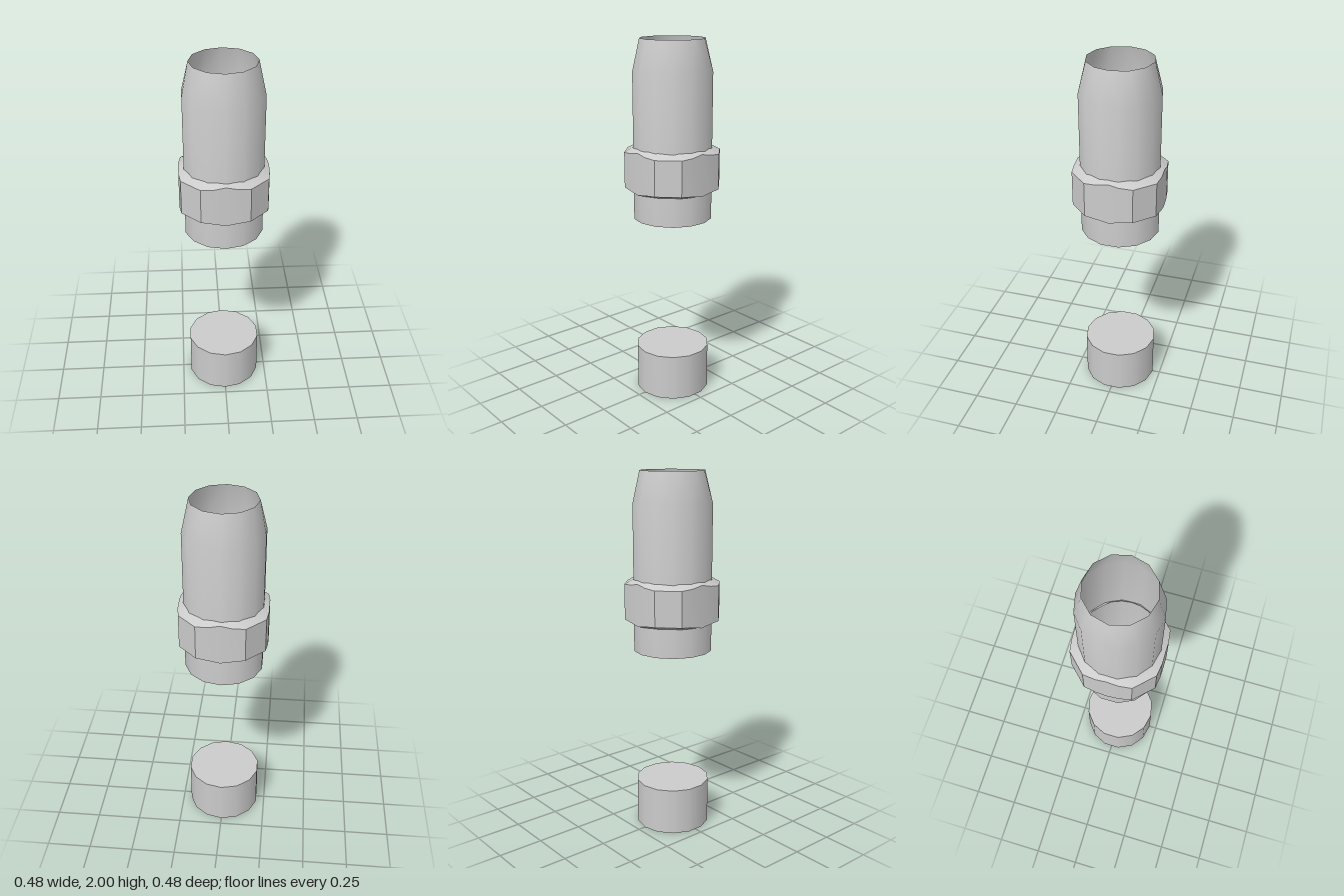
import * as THREE from 'three';
import { toCreasedNormals } from 'three/addons/utils/BufferGeometryUtils.js';

const grey = new THREE.MeshStandardMaterial({ color: 0xcccccc });
const greyThin = new THREE.MeshStandardMaterial({ color: 0xcccccc, side: THREE.DoubleSide });

// Regular polygon loop, running from +z towards +x
function ring(sides, radius, y) {
  return Array.from({ length: sides }, (_, i) => {
    const a = (i / sides) * Math.PI * 2;
    return new THREE.Vector3(Math.sin(a) * radius, y, Math.cos(a) * radius);
  });
}

// Skin closed loops from bottom to top; neighbouring loops may differ in point count
function loft(loops, crease) {
  const pos = [];
  const tri = (...pts) => pts.forEach((p) => pos.push(p.x, p.y, p.z));
  for (let k = 0; k < loops.length - 1; k++) {
    const a = loops[k], b = loops[k + 1];
    const n = a.length, m = b.length;
    let i = 0, j = 0;
    while (i < n || j < m) {
      if (i < n && (j >= m || (i + 1) / n <= (j + 1) / m)) {
        tri(a[i % n], a[(i + 1) % n], b[j % m]);
        i++;
      } else {
        tri(a[i % n], b[(j + 1) % m], b[j % m]);
        j++;
      }
    }
  }
  const geometry = new THREE.BufferGeometry();
  geometry.setAttribute('position', new THREE.Float32BufferAttribute(pos, 3));
  return toCreasedNormals(geometry, crease);
}

function add(parent, name, geometry, material = grey) {
  const mesh = new THREE.Mesh(geometry, material);
  mesh.name = name;
  parent.add(mesh);
  return mesh;
}

export function createModel() {
  const model = new THREE.Group();
  model.name = 'nozzle';

  // Loose plug at the bottom
  add(model, 'plug', new THREE.CylinderGeometry(0.207, 0.207, 0.26, 14)).position.y = 0.13;

  // Hollow barrel with tapered, open mouth
  const barrel = new THREE.Group();
  barrel.name = 'barrel';
  model.add(barrel);
  add(barrel, 'barrelWall',
    loft([ring(14, 0.217, 1.03), ring(14, 0.217, 1.83), ring(12, 0.176, 2)], 0.55), greyThin);
  const floor = add(barrel, 'barrelFloor', new THREE.CircleGeometry(0.217, 14, Math.PI / 2), greyThin);
  floor.rotation.x = Math.PI / 2;
  floor.position.y = 1.03;

  // Nut: four bowed wide flats joined by narrow diagonals, chamfered at both ends
  const flat = [[-0.13, 0.23, 0], [-0.06, 0.24, 0.006], [0, 0.24, 0.018], [0.06, 0.24, 0.006], [0.13, 0.23, 0]];
  const up = new THREE.Vector3(0, 1, 0);
  const outline = (y, sign) => {
    const pts = [];
    for (let q = 0; q < 4; q++) {
      for (const [x, z, lift] of flat) {
        pts.push(new THREE.Vector3(x, y + sign * lift, z).applyAxisAngle(up, (q * Math.PI) / 2));
      }
    }
    return pts;
  };
  const inner = (y) => outline(0, 0).map((p) => p.setLength(0.208).setY(y));
  add(model, 'nut',
    loft([inner(1.185), outline(1.208, -1), outline(1.402, 1), inner(1.432)], 0.4));

  return model;
}
